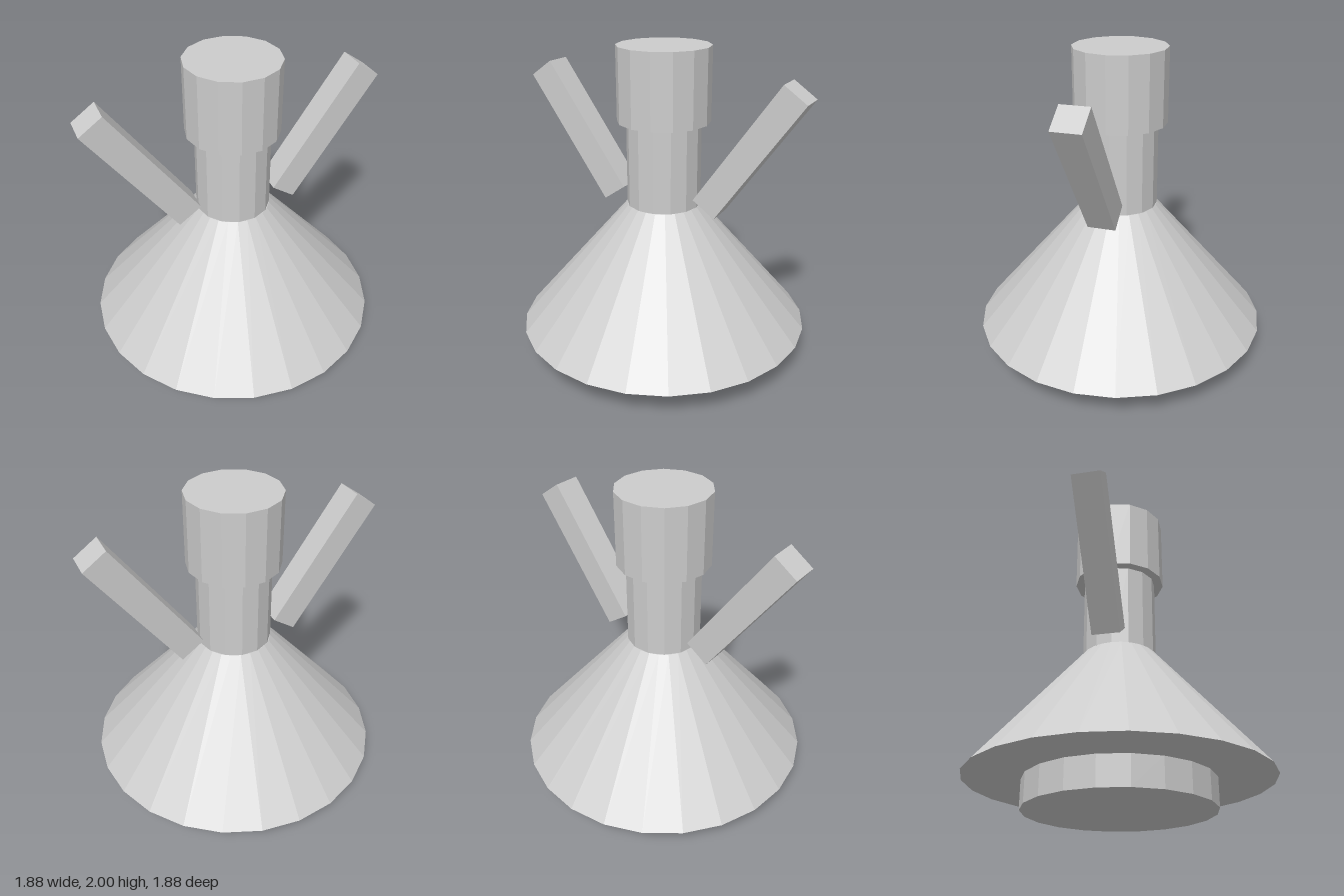
import * as THREE from 'three';

export function createModel() {
  const model = new THREE.Group();
  const lightGrey = new THREE.MeshStandardMaterial({ color: 0xcccccc, flatShading: true });
  lightGrey.name = 'lightGrey';

  function add(name, geometry) {
    const mesh = new THREE.Mesh(geometry, lightGrey);
    mesh.name = name;
    model.add(mesh);
    return mesh;
  }

  // Faceted drum between two heights, with a corner on the x axis
  function drum(name, rTop, rBottom, y0, y1, sides) {
    const geometry = new THREE.CylinderGeometry(rTop, rBottom, y1 - y0, sides);
    geometry.rotateY(Math.PI / 2);
    geometry.translate(0, (y0 + y1) / 2, 0);
    return add(name, geometry);
  }

  // Central stack, from the ground up
  drum('base', 0.587, 0.587, 0, 0.18, 20);
  drum('skirt', 0.235, 0.94, 0.18, 1.0, 24);
  drum('neck', 0.235, 0.235, 1.0, 1.535, 14);
  drum('head', 0.293, 0.293, 1.535, 2.0, 14);

  // Raised square arms, leaning outwards on both sides
  for (const side of [1, -1]) {
    const arm = add(side > 0 ? 'leftArm' : 'rightArm', new THREE.BoxGeometry(0.175, 0.94, 0.175));
    arm.position.set(side * 0.59, 1.415, 0);
    arm.rotation.z = -side * THREE.MathUtils.degToRad(35);
  }

  return model;
}
